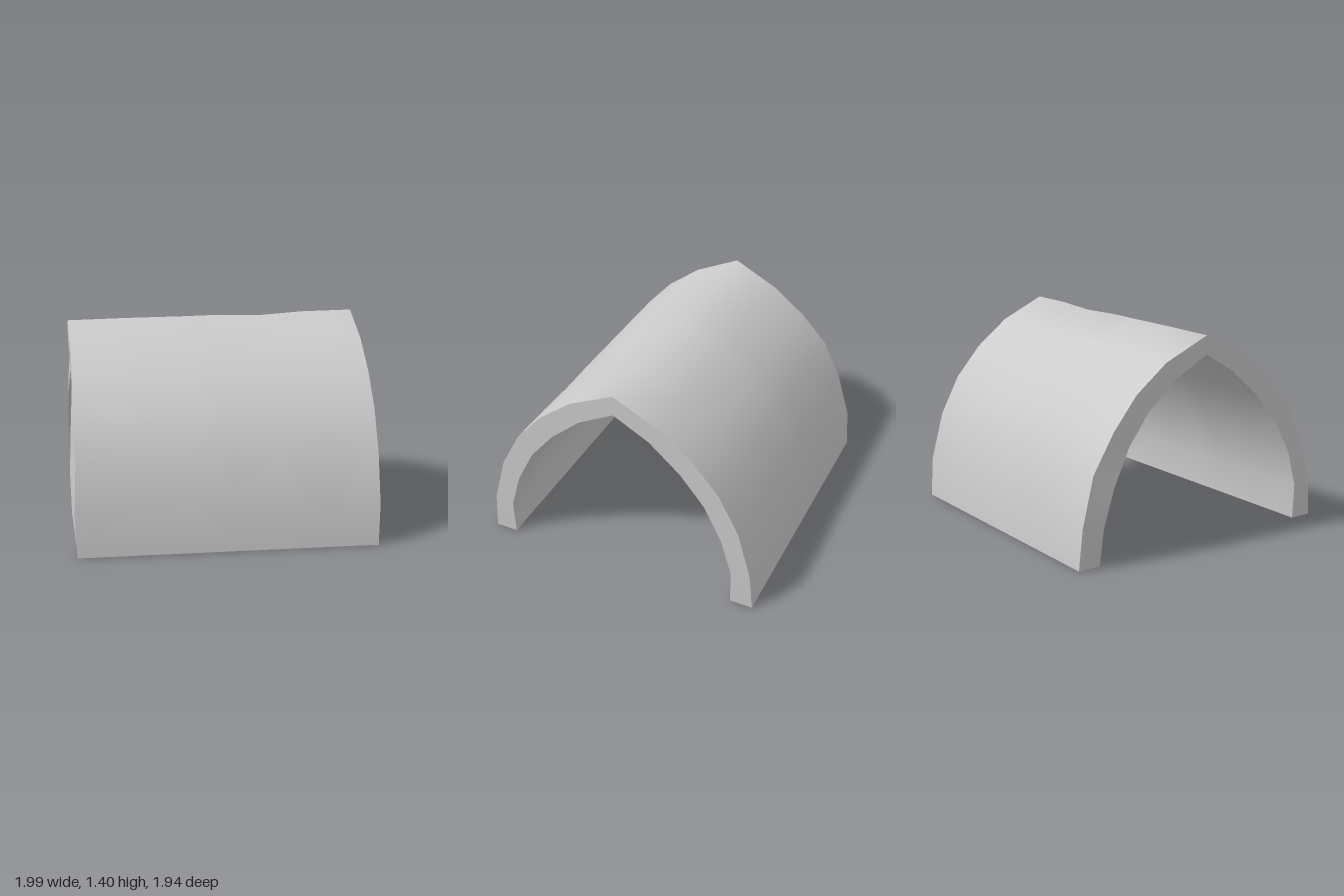
import * as THREE from 'three';

// Half sections [z, y] from foot to ridge, and the wobble of the left rim
const OUTER = [[0.97, 0], [0.947, 0.275], [0.857, 0.6], [0.72, 0.86], [0.538, 1.07], [0.31, 1.25], [0, 1.398]];
const INNER = [[0.815, 0], [0.817, 0.25], [0.743, 0.5], [0.622, 0.74], [0.458, 0.94], [0.247, 1.125], [0, 1.258]];
const RIM_OUTER = [-0.97, -0.98, -0.966, -0.985, -0.97, -0.97, -0.985];
const RIM_INNER = [-0.97, -0.995, -1, -0.988, -0.97, -0.975, -0.985];

// Stations along the vault: [x, drop of the outer ridge]
const STATIONS = [[-1, 0.036], [-0.6, 0.028], [-0.2, 0.024], [0, 0.02], [0.35, 0.026], [0.65, 0.006], [1, 0]];

// One arch from the front foot over the ridge to the back foot
function arch(half, rim, [x, drop], inner) {
  const last = half.length - 1;
  const points = [];
  for (let j = 0; j <= 2 * last; j++) {
    const k = Math.min(j, 2 * last - j);
    const side = j <= last ? 1 : -1;
    const [z, y] = half[k];
    const px = x === -1 ? rim[k] : x === 1 ? (k === 0 ? 0.983 : 0.992) : x;
    const taper = inner && k > 0 && k < last ? 0.008 * (1 - x) : 0;
    const squash = y * drop / 1.398 * (inner ? 0.6 : 1);
    points.push(new THREE.Vector3(px, y - squash, side * (z - taper)));
  }
  return points;
}

// Smooth sheet through rows of points
function sheet(name, rows, flip, material) {
  const n = rows[0].length;
  const index = [];
  for (let i = 0; i < rows.length - 1; i++) {
    for (let j = 0; j < n - 1; j++) {
      const a = i * n + j, b = a + n, c = b + 1, d = a + 1;
      if (flip) index.push(a, d, b, d, c, b);
      else index.push(a, b, d, b, c, d);
    }
  }
  const geometry = new THREE.BufferGeometry().setFromPoints(rows.flat());
  geometry.setIndex(index);
  geometry.computeVertexNormals();
  const mesh = new THREE.Mesh(geometry, material);
  mesh.name = name;
  return mesh;
}

export function createModel() {
  const group = new THREE.Group();
  group.name = 'archedVault';
  const material = new THREE.MeshStandardMaterial({ color: 0xcccccc });
  const outer = STATIONS.map((s) => arch(OUTER, RIM_OUTER, s, false));
  const inner = STATIONS.map((s) => arch(INNER, RIM_INNER, s, true));
  const end = STATIONS.length - 1;
  const foot = outer[0].length - 1;
  const line = (rows, j) => rows.map((row) => row[j]);

  // Curved skins
  group.add(sheet('outerShell', outer, false, material));
  group.add(sheet('innerShell', inner, true, material));
  // End rims
  group.add(sheet('leftRim', [outer[end], inner[end]], false, material));
  group.add(sheet('rightRim', [outer[0], inner[0]], true, material));
  // Undersides of the two walls
  group.add(sheet('frontFoot', [line(outer, 0), line(inner, 0)], false, material));
  group.add(sheet('backFoot', [line(outer, foot), line(inner, foot)], true, material));
  return group;
}
